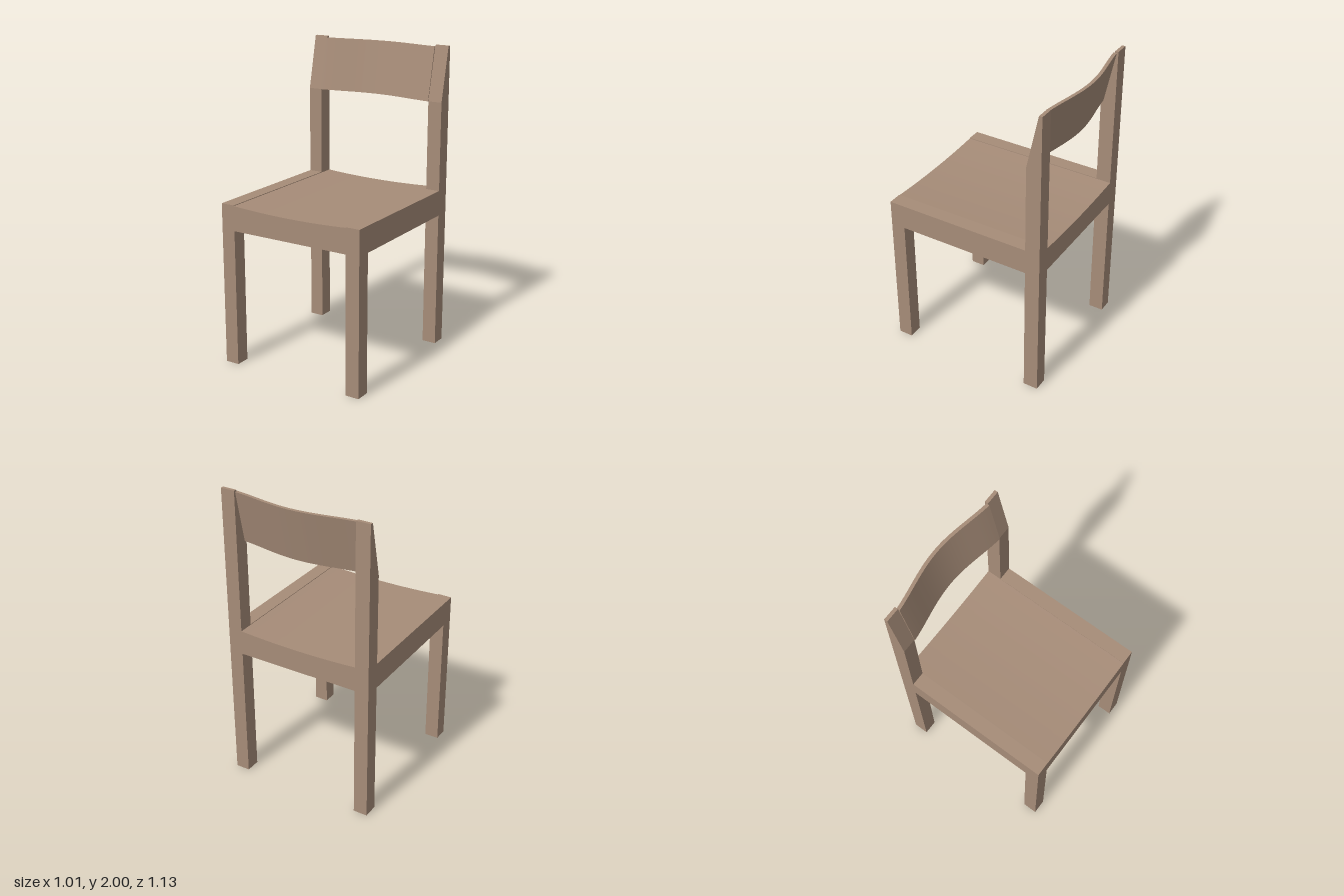
import * as THREE from 'three';
import { toCreasedNormals } from 'three/addons/utils/BufferGeometryUtils.js';

const HALF = 0.504, INNER = 0.41, LEG = HALF - INNER;   // outer and inner x of the frame
const FRONT = 0.562, FRONT_IN = 0.466;                  // front legs, z
const BACK = -0.518, BACK_IN = -0.42;                   // back legs, z
const RAIL = 0.903, SEAT = 1.07, DIP = 0.018;           // seat heights

export function createModel() {
  const wood = new THREE.MeshStandardMaterial({ color: 0xa68c78 });
  wood.name = 'wood';
  const group = new THREE.Group();
  group.name = 'chair';

  const add = (name, geometry, x = 0, y = 0, z = 0) => {
    const mesh = new THREE.Mesh(geometry, wood);
    mesh.name = name;
    mesh.position.set(x, y, z);
    group.add(mesh);
  };
  const extrude = (points, depth) => new THREE.ExtrudeGeometry(
    new THREE.Shape(points.map(([x, y]) => new THREE.Vector2(x, y))), { depth, bevelEnabled: false });
  // box given by its z range and y range
  const block = (name, x, y0, y1, z0, z1) =>
    add(name, new THREE.BoxGeometry(LEG, y1 - y0, z1 - z0), x, (y0 + y1) / 2, (z0 + z1) / 2);
  // samples a curve across the inner width
  const across = (fn, n = 32) => Array.from({ length: n + 1 }, (_, i) => {
    const u = (i / n) * 2 - 1;
    return [u * INNER, fn(u)];
  });

  // Legs and side rails, mirrored
  for (const [side, s] of [['left', 1], ['right', -1]]) {
    const x = s * (HALF + INNER) / 2;
    block(side + 'FrontLeg', x, 0, SEAT, FRONT_IN, FRONT);
    block(side + 'SideRail', x, RAIL, SEAT, BACK_IN, FRONT_IN);
    // back post, tapering above the foot of the backrest
    const post = extrude([[BACK, 0], [BACK_IN, 0], [BACK_IN, 1.65], [-0.496, 2], [BACK, 2]], LEG);
    post.rotateY(-Math.PI / 2).translate(LEG / 2, 0, 0);
    add(side + 'BackPost', post, x);
  }

  // Dished seat panel between a front and a back rail of the same curve
  const dished = (bottom, z0, z1) => toCreasedNormals(extrude([
    [-INNER, bottom], [INNER, bottom],
    ...across((u) => SEAT - 0.004 - (DIP - 0.004) * (1 - u * u)).reverse(),
  ], z1 - z0).translate(0, 0, z0), 0.5);
  add('frontRail', dished(RAIL, FRONT_IN, FRONT));
  add('backRail', dished(RAIL, BACK, BACK_IN));
  add('seatPanel', dished(1.0, BACK_IN, FRONT_IN));

  // Backrest: curved in plan, leaning back
  const k = 0.8 * Math.PI;
  const bow = (u) => -0.415 - 0.056 * (Math.cos(k * u) - Math.cos(k)) / (1 - Math.cos(k));
  const front = across(bow);
  const back = front.map(([x, z]) => [x, z - 0.022]).reverse();
  const rest = extrude([...front, ...back], 0.34);
  rest.rotateX(Math.PI / 2).translate(0, 1.99, 0);
  const p = rest.attributes.position;
  for (let i = 0; i < p.count; i++) p.setZ(i, p.getZ(i) - (p.getY(i) - 1.65) * 0.208);
  add('backrest', toCreasedNormals(rest, 0.5));

  return group;
}
